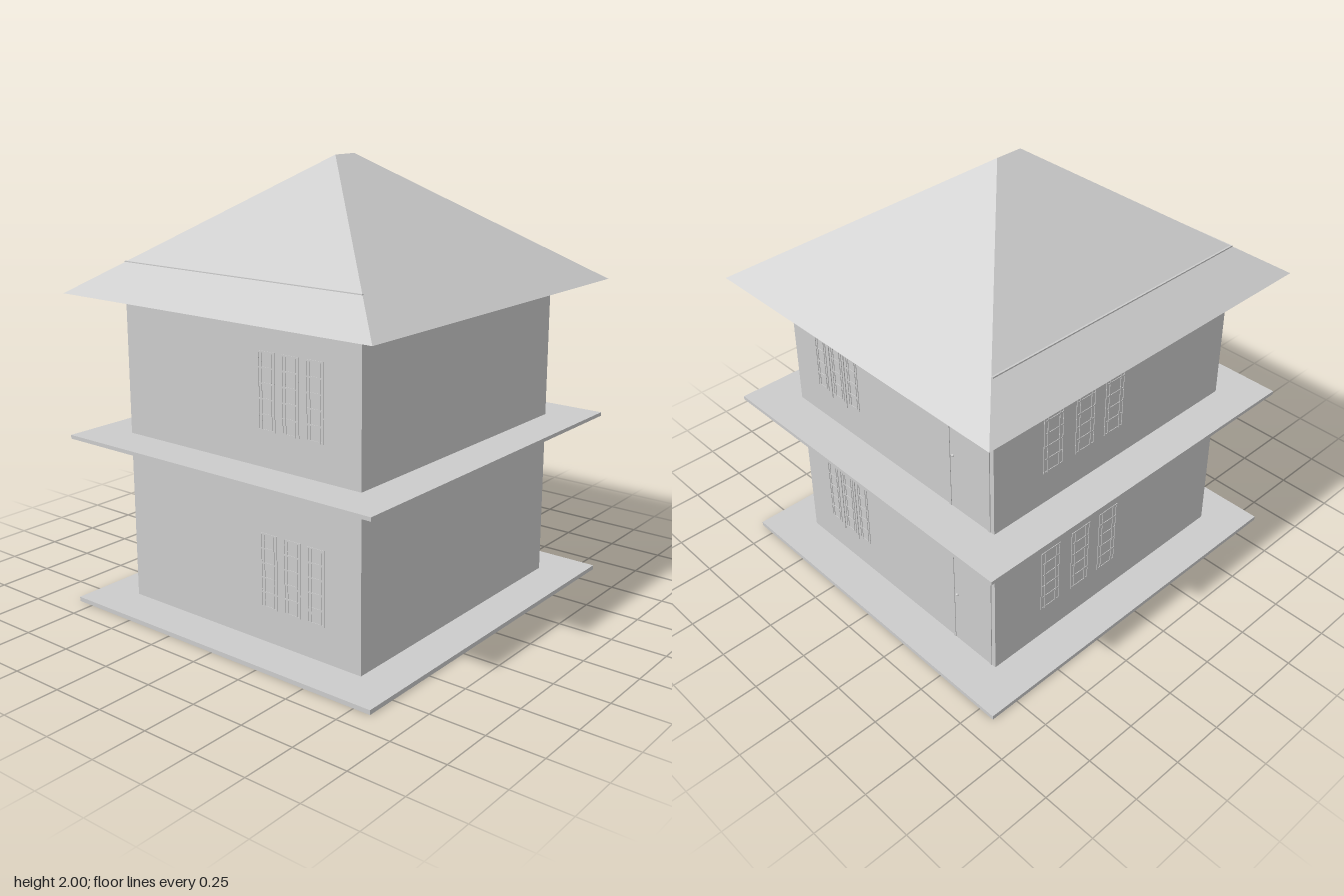
import * as THREE from 'three';

const plaster = new THREE.MeshStandardMaterial({ color: 0xcccccc });
plaster.name = 'light grey plaster';

// Box given by its lower and upper corners
function block(parent, name, x0, x1, y0, y1, z0, z1) {
  const mesh = new THREE.Mesh(new THREE.BoxGeometry(x1 - x0, y1 - y0, z1 - z0), plaster);
  mesh.position.set((x0 + x1) / 2, (y0 + y1) / 2, (z0 + z1) / 2);
  mesh.name = name;
  parent.add(mesh);
  return mesh;
}

// Hipped roof with a short ridge: a box whose top is squeezed to a line
function hipRoof(halfX, halfZ, base, top, ridge) {
  const geo = new THREE.BoxGeometry(2 * halfX, top - base, 2 * halfZ).toNonIndexed();
  const p = geo.attributes.position;
  for (let i = 0; i < p.count; i++) {
    if (p.getY(i) > 0) {
      p.setX(i, Math.sign(p.getX(i)) * ridge);
      p.setZ(i, 0);
    }
  }
  geo.computeVertexNormals();
  const mesh = new THREE.Mesh(geo, plaster);
  mesh.position.y = (base + top) / 2;
  mesh.name = 'roof';
  return mesh;
}

// Group lying on a wall: local x runs along it, local z points outward
function wallFace(name, x, z, angle) {
  const face = new THREE.Group();
  face.name = name;
  face.position.set(x, 0, z);
  face.rotation.y = angle;
  return face;
}

// Glazed sash with a ladder of thin bars
function sash(face, cx, y0, width) {
  const h = 0.33, bar = 0.007, d = 0.003;
  for (const k of [-1, -0.62, 0.62, 1]) {
    const x = cx + k * (width - bar) / 2;
    block(face, 'sashUpright', x - bar / 2, x + bar / 2, y0, y0 + h, -0.002, d);
  }
  for (let i = 0; i < 6; i++) {
    const y = y0 + i * (h - bar) / 5;
    block(face, 'sashRail', cx - width / 2, cx + width / 2, y, y + bar, -0.002, d - 0.0005);
  }
}

// Door leaf, surround and knob
function door(face, cx, y0) {
  const top = y0 + 0.55, half = 0.122, t = 0.013;
  block(face, 'doorLeaf', cx - half + t, cx + half - t, y0, top - t, -0.002, 0.001);
  for (const s of [-1, 1]) {
    const x = cx + s * (half - t / 2);
    block(face, 'doorJamb', x - t / 2, x + t / 2, y0, top - t, -0.002, 0.004);
  }
  block(face, 'doorHead', cx - half, cx + half, top - t, top, -0.002, 0.004);
  const knob = new THREE.Mesh(new THREE.SphereGeometry(0.007, 10, 8), plaster);
  knob.name = 'doorKnob';
  knob.position.set(cx - half + 0.03, y0 + 0.27, 0.003);
  face.add(knob);
}

export function createModel() {
  const house = new THREE.Group();
  house.name = 'twoStoreyHouse';
  const X0 = -0.705, X1 = 0.7, Z0 = -0.645, Z1 = 0.64;

  // Floor slabs and walls
  const floors = [0.02, 0.79];
  block(house, 'groundSlab', -0.895, 0.89, 0, 0.02, -0.83, 0.83);
  block(house, 'upperSlab', -0.895, 0.89, 0.773, 0.79, -0.83, 0.83);
  block(house, 'lowerWalls', X0, X1, 0.02, 0.773, Z0, Z1);
  block(house, 'upperWalls', X0, X1, 0.79, 1.5, Z0, Z1);

  // Roof, with the wall tops just breaking through on two sides
  house.add(hipRoof(0.893, 0.83, 1.423, 2, 0.065));
  block(house, 'sideWallTop', X0, X0 + 0.008, 1.5, 1.558, Z0, Z1);
  block(house, 'backWallTop', X0, X1, 1.5, 1.558, Z0, Z0 + 0.008);

  // Openings on three sides, repeated on both storeys
  const right = wallFace('doorSide', X1, 0, Math.PI / 2);
  const back = wallFace('backSide', 0, Z0, Math.PI);
  const left = wallFace('windowSide', X0, 0, -Math.PI / 2);
  house.add(right, back, left);
  for (const y of floors) {
    const sill = y + 0.155;
    for (const z of [0.45, 0.34, 0.235]) sash(right, -z, sill, 0.075);
    for (const z of [0.392, 0.29]) {
      block(right, 'windowMullion', -z - 0.005, -z + 0.005, sill - 0.025, sill + 0.35, -0.002, 0.004);
    }
    door(right, 0.502, y);
    for (const x of [0.37, 0.185, 0.01]) sash(back, -x, sill, 0.115);
    for (const z of [0.16, 0.285, 0.41]) sash(left, z, sill, 0.09);
  }
  return house;
}
